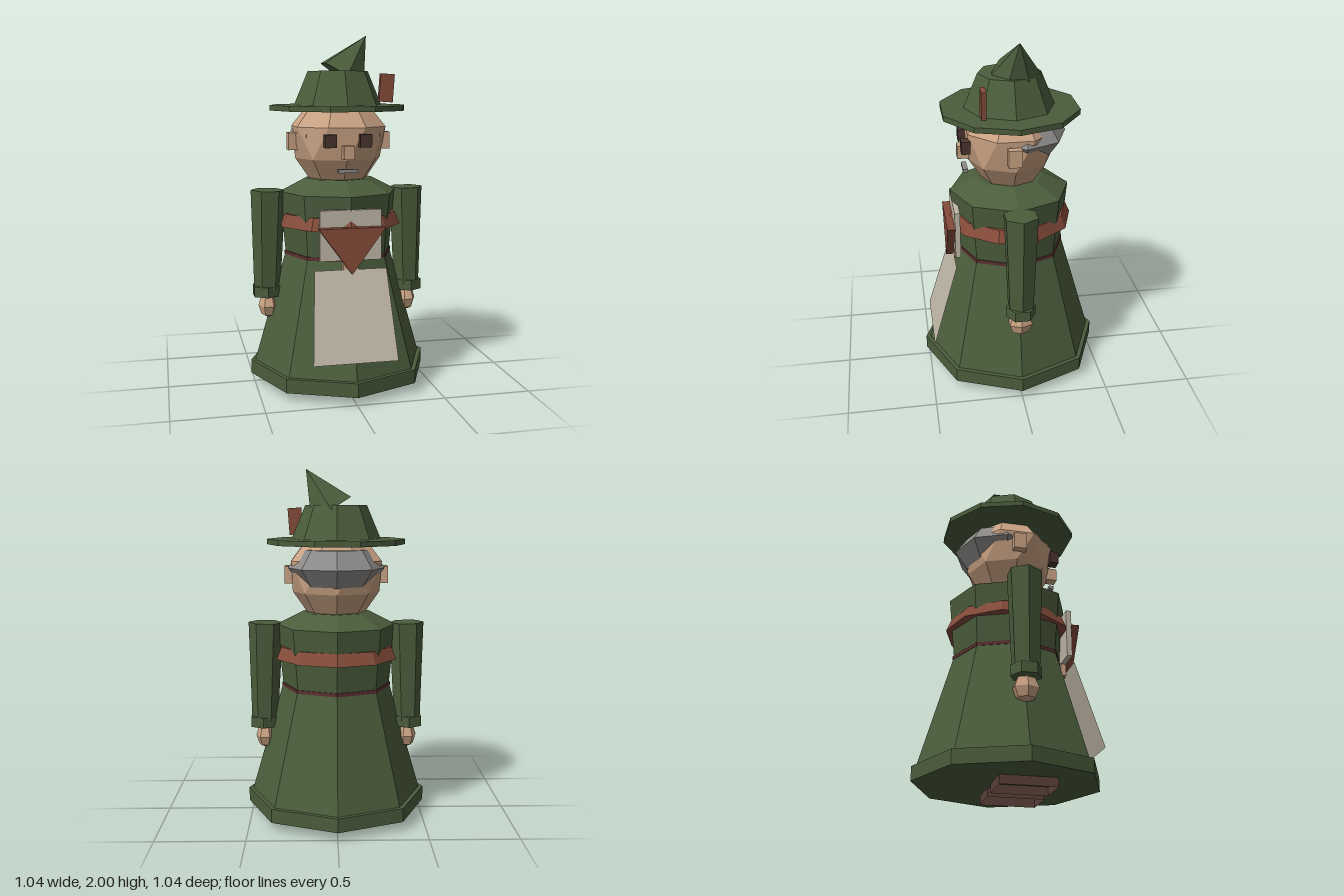
import * as THREE from 'three';

const flat = (name, color, side = THREE.FrontSide) => {
  const m = new THREE.MeshStandardMaterial({ color, side, flatShading: true });
  m.name = name;
  return m;
};

// Closed loops stacked upward; offset turns a ring by a share of one segment.
function ringGeometry(rings, n) {
  const pos = [], index = [];
  for (const [y, r, offset] of rings) {
    for (let i = 0; i < n; i++) {
      const a = ((i + offset) / n) * Math.PI * 2;
      pos.push(Math.sin(a) * r, y, Math.cos(a) * r);
    }
  }
  for (let k = 0; k < rings.length - 1; k++) {
    for (let i = 0; i < n; i++) {
      const a = k * n + i, b = k * n + ((i + 1) % n);
      index.push(a, b, a + n, b, b + n, a + n);
    }
  }
  const g = new THREE.BufferGeometry();
  g.setAttribute('position', new THREE.Float32BufferAttribute(pos, 3));
  g.setIndex(index);
  g.computeVertexNormals();
  return g;
}

export function createModel() {
  const model = new THREE.Group();
  model.name = 'gardenFigure';
  const green = flat('coat green', 0x4b5d3c);
  const red = flat('scarf red', 0x864c3b);
  const wine = flat('belt wine', 0x5a2f2f);
  const brown = flat('boot brown', 0x5a403a, THREE.DoubleSide);
  const dark = flat('eye brown', 0x4a342e);
  const skin = flat('skin', 0xc9a283);
  const hairGrey = flat('hair grey', 0x8e8c8a);
  const linen = flat('apron linen', 0xc2b9a8, THREE.DoubleSide);

  const add = (name, geo, mat, x = 0, y = 0, z = 0) => {
    const m = new THREE.Mesh(geo, mat);
    m.name = name;
    m.position.set(x, y, z);
    model.add(m);
    return m;
  };
  const box = (name, mat, w, h, d, x, y, z) => add(name, new THREE.BoxGeometry(w, h, d), mat, x, y, z);
  // Cylinder given by its lower and upper heights
  const drum = (name, mat, y0, y1, r0, r1, n, start = 0) =>
    add(name, new THREE.CylinderGeometry(r1, r0, y1 - y0, n, 1, false, start), mat, 0, (y0 + y1) / 2, 0);

  // Coat
  drum('hem', green, 0.05, 0.13, 0.52, 0.52, 8);
  drum('skirt', green, 0.13, 0.77, 0.495, 0.31, 8);
  drum('torso', green, 0.77, 1.12, 0.31, 0.343, 8);
  drum('shoulders', green, 1.12, 1.195, 0.343, 0.195, 8);
  drum('belt', wine, 0.755, 0.775, 0.317, 0.317, 8);
  drum('scarf', red, 0.93, 1.0, 0.36, 0.33, 10);

  // Knotted scarf point on the chest
  const tri = new THREE.Shape([
    new THREE.Vector2(-0.187, 0.957), new THREE.Vector2(0, 0.7), new THREE.Vector2(0.187, 0.957),
  ]);
  add('scarfPoint', new THREE.ExtrudeGeometry(tri, { depth: 0.045, bevelEnabled: false }), red, 0, 0, 0.333);

  // Apron
  box('bib', linen, 0.345, 0.28, 0.03, 0, 0.91, 0.32);
  box('apronKnot', skin, 0.085, 0.09, 0.03, 0, 0.745, 0.32);
  const apron = new THREE.PlaneGeometry(2, 1);
  const ap = apron.attributes.position;
  for (let i = 0; i < ap.count; i++) {
    const top = ap.getY(i) > 0;
    ap.setXYZ(i, ap.getX(i) * (top ? 0.203 : 0.237), top ? 0.72 : 0.23, top ? 0.335 : 0.48);
  }
  apron.computeVertexNormals();
  add('apron', apron, linen);

  // Head
  const head = add('head', ringGeometry([
    [1.165, 0.15, 0], [1.31, 0.25, 0], [1.49, 0.276, 0.5], [1.62, 0.17, 0.5],
  ], 8), skin);
  head.scale.z = 0.96;
  box('nose', skin, 0.06, 0.075, 0.07, 0, 1.357, 0.263);
  box('mouth', hairGrey, 0.11, 0.02, 0.028, 0, 1.255, 0.256);
  const hairProfile = [[0, -0.1], [0.72, -0.1], [1, 0], [0.72, 0.1], [0, 0.1]];
  const hair = add('hair', new THREE.LatheGeometry(
    hairProfile.map(([x, y]) => new THREE.Vector2(x, y)), 8), hairGrey, 0, 1.45, -0.06);
  hair.scale.set(0.275, 1.03, 0.26);

  // Paired parts
  for (const s of [-1, 1]) {
    const side = s > 0 ? 'left' : 'right';
    box(side + 'Eye', dark, 0.065, 0.072, 0.05, s * 0.098, 1.42, 0.258);
    box(side + 'Ear', skin, 0.052, 0.098, 0.075, s * 0.27, 1.407, 0.01);
    const lock = box(side + 'Sideburn', hairGrey, 0.04, 0.03, 0.12, s * 0.215, 1.448, 0.08);
    lock.rotation.y = -s * 0.38;

    const arm = add(side + 'Arm', new THREE.CylinderGeometry(0.1, 0.076, 0.58, 6, 1, false, Math.PI / 2),
      green, s * 0.414, 0.84, 0);
    arm.rotation.z = s * 0.02;
    add(side + 'Cuff', new THREE.CylinderGeometry(0.085, 0.085, 0.06, 6), green, s * 0.425, 0.545, 0);
    const hand = add(side + 'Hand', new THREE.SphereGeometry(1, 6, 4), skin, s * 0.418, 0.457, 0);
    hand.scale.set(0.055, 0.075, 0.075);

    // Open-bottomed boot
    const boot = add(side + 'Boot', new THREE.CylinderGeometry(Math.SQRT1_2, Math.SQRT1_2, 1, 4, 1, true)
      .rotateY(Math.PI / 4), brown, s * 0.143, 0.03, 0.057);
    boot.scale.set(0.205, 0.06, 0.315);
  }

  // Hat
  drum('hatBrim', green, 1.58, 1.61, 0.395, 0.395, 10, Math.PI / 2);
  drum('hatCrown', green, 1.61, 1.8, 0.255, 0.175, 8);
  const tip = add('hatTip', new THREE.ConeGeometry(0.15, 0.265, 6), green, 0.1, 1.888, -0.03);
  tip.rotation.z = -0.56;
  const feather = box('hatFeather', red, 0.08, 0.155, 0.028, 0.237, 1.706, 0.174);
  feather.rotation.z = -0.07;

  return model;
}
